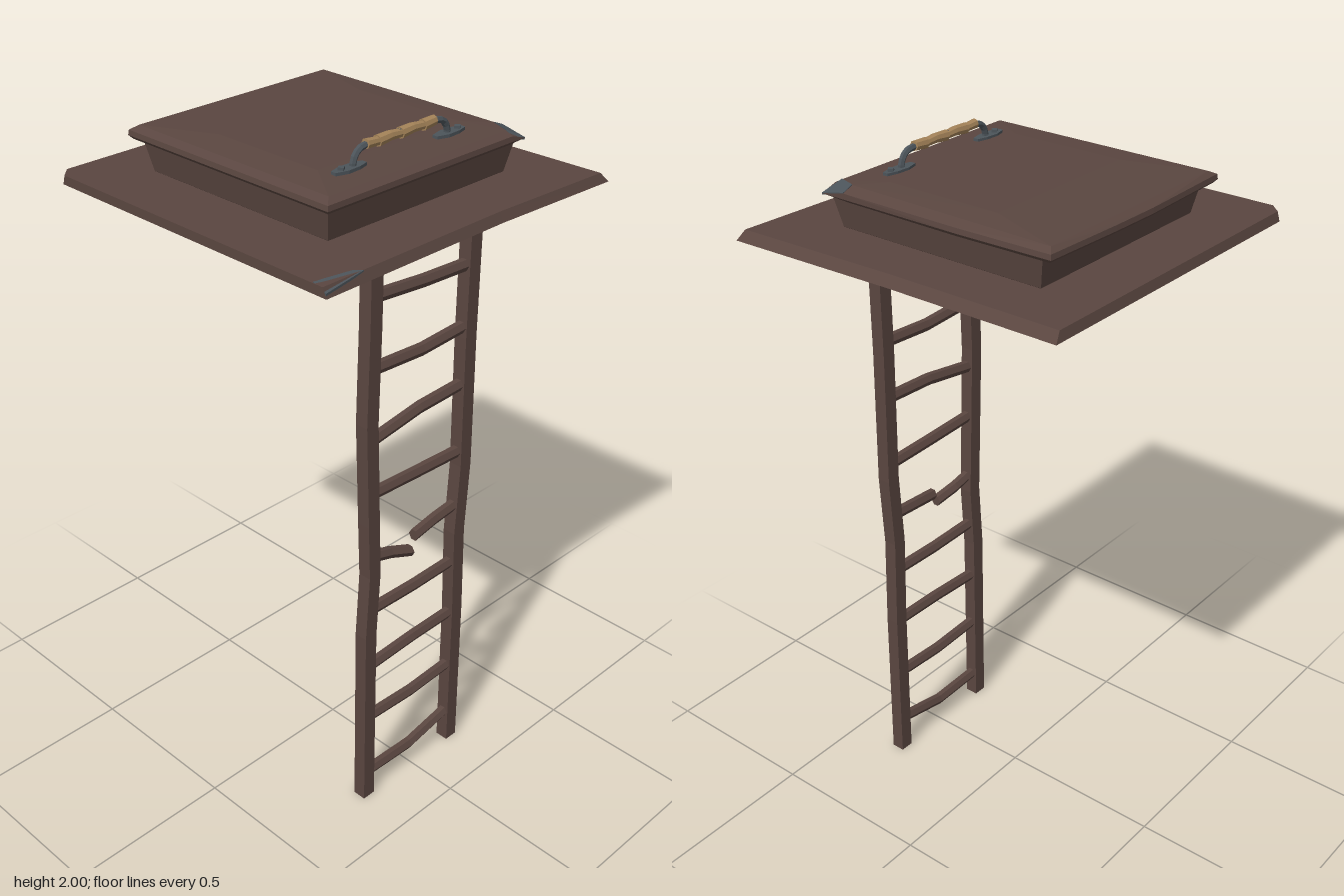
import * as THREE from 'three';
import { ConvexGeometry } from 'three/addons/geometries/ConvexGeometry.js';

const V = (x, y, z) => new THREE.Vector3(x, y, z);

export function createModel() {
  const mat = (name, color) => {
    const m = new THREE.MeshStandardMaterial({ color, flatShading: true });
    m.name = name;
    return m;
  };
  const wood = mat('dark wood', 0x5a4640);
  const metal = mat('dull metal', 0x4c545a);
  const cloth = mat('tan cloth', 0xa38258);

  const root = new THREE.Group();
  const add = (name, geo, material, parent = root) => {
    const mesh = new THREE.Mesh(geo, material);
    mesh.name = name;
    parent.add(mesh);
    return mesh;
  };

  // Bar lofted through path points; u and v span a cross-section of [a, b] pairs
  function bar(path, section, u, v) {
    const n = section.length, pos = [], idx = [];
    for (const p of path) for (const [a, b] of section)
      pos.push(...p.clone().addScaledVector(u, a).addScaledVector(v, b).toArray());
    for (let i = 0; i < path.length - 1; i++) for (let j = 0; j < n; j++) {
      const a = i * n + j, b = i * n + (j + 1) % n;
      idx.push(a, b, a + n, b, b + n, a + n);
    }
    const last = (path.length - 1) * n;
    for (let j = 1; j < n - 1; j++) idx.push(0, j + 1, j, last, last + j, last + j + 1);
    const g = new THREE.BufferGeometry();
    g.setAttribute('position', new THREE.Float32BufferAttribute(pos, 3));
    g.setIndex(idx);
    g.computeVertexNormals();
    return g;
  }

  // Square ring from a closed profile of [half width, height]
  function squareRing(profile) {
    const pts = profile.map(([r, y]) => new THREE.Vector2(r * Math.SQRT2, y));
    pts.push(pts[0].clone());
    return new THREE.LatheGeometry(pts, 4, Math.PI / 4).translate(-0.005, 0, -0.01);
  }

  // Thin worn patch lying on a surface
  const chip = (pts) => new ConvexGeometry(
    pts.flatMap(([x, y, z]) => [V(x, y + 0.002, z), V(x, y - 0.004, z)]));

  // Ladder rails, slightly crooked
  const rails = {
    ladderRailRight: [[-0.193, 0], [-0.195, 0.6], [-0.183, 0.8], [-0.19, 0.97], [-0.202, 1.28], [-0.195, 1.55], [-0.193, 1.79]],
    ladderRailLeft: [[0.175, 0], [0.172, 0.5], [0.164, 0.78], [0.177, 1.0], [0.172, 1.4], [0.175, 1.79]],
  };
  const railSection = [[-0.02, -0.021], [-0.02, 0.021], [0.02, 0.021], [0.02, -0.021]].reverse();
  for (const [name, pts] of Object.entries(rails))
    add(name, bar(pts.map(([x, y]) => V(x, y, 0.327)), railSection, V(0, 0, 1), V(1, 0, 0)), wood);

  // Rungs: heights at the right end, the middle and the left end
  const rungSection = [[-0.016, -0.008], [-0.016, 0.008], [0, 0.017], [0.016, 0.008], [0.016, -0.008], [0, -0.017]].reverse();
  const rung = (name, pts) => add(name, bar(pts, rungSection, V(0, 1, 0), V(0, 0, 1)), wood);
  [
    [0.08, 0.074, 0.108], [0.291, 0.282, 0.291], [0.477, 0.486, 0.488], [0.675, 0.67, 0.673],
    [1.058, 1.05, 1.044], [1.222, 1.25, 1.257], [1.432, 1.422, 1.432], [1.633, 1.617, 1.609],
  ].forEach(([a, b, c], i) =>
    rung('rung' + (i + 1), [V(-0.19, a, 0.327), V(-0.005, b, 0.327), V(0.17, c, 0.327)]));
  rung('brokenRungRight', [V(-0.185, 0.856, 0.327), V(-0.11, 0.836, 0.33), V(-0.04, 0.815, 0.343)]);
  rung('brokenRungLeft', [V(-0.02, 0.852, 0.336), V(0.07, 0.862, 0.33), V(0.168, 0.87, 0.327)]);

  // Floor plate with square hole, uneven outline and worn upper edges
  const outline = [[-0.508, 0.49], [0.1, 0.487], [0.505, 0.503], [0.49, 0], [0.49, -0.508], [-0.475, -0.508], [-0.507, -0.475]];
  const shape = new THREE.Shape(outline.map(([x, z]) => new THREE.Vector2(x, -z)));
  shape.holes.push(new THREE.Path([[-0.3, -0.285], [-0.3, 0.305], [0.29, 0.305], [0.29, -0.285]]
    .map(([x, y]) => new THREE.Vector2(x, y))));
  const plate = new THREE.ExtrudeGeometry(shape, { depth: 0.026, bevelEnabled: false });
  plate.rotateX(-Math.PI / 2).translate(0, 1.788, 0);
  const pp = plate.attributes.position;
  for (let i = 0; i < pp.count; i++) {
    if (pp.getY(i) < 1.8) continue;
    if (pp.getX(i) > 0.4) pp.setX(i, pp.getX(i) - 0.022);
    if (pp.getZ(i) > 0.4) pp.setZ(i, pp.getZ(i) - 0.012);
    if (pp.getZ(i) < -0.4) pp.setZ(i, pp.getZ(i) + 0.008);
  }
  plate.computeVertexNormals();
  add('floorPlate', plate, wood);
  add('floorPlateWear', chip([[-0.506, 1.814, 0.446], [-0.475, 1.815, 0.452], [-0.4, 1.815, 0.466],
    [-0.38, 1.812, 0.479], [-0.508, 1.8, 0.489]]), metal);

  // Hatch frame passing through the plate, with a lower flange
  add('hatchFrame', squareRing([[0.295, 1.742], [0.295, 1.79], [0.318, 1.815], [0.336, 1.905], [0.29, 1.905], [0.285, 1.742]]), wood);
  add('lowerFlange', squareRing([[0.35, 1.735], [0.364, 1.748], [0.29, 1.748], [0.28, 1.735]]), wood);

  // Hatch lid: slightly domed slab with one broken corner
  const rim = [[-0.36, -0.381], [-0.05, -0.392], [0.1, -0.39], [0.346, -0.381], [0.353, -0.1], [0.348, 0.265],
    [0.3, 0.345], [-0.36, 0.345]];
  const worn = [[0.347, 1.905, 0.344], [0.348, 1.921, 0.268], [0.315, 1.934, 0.268], [0.296, 1.932, 0.322], [0.298, 1.917, 0.343]];
  const lidPts = [
    ...rim.map(([x, z]) => V(x * 0.975, 1.897, z * 0.975)),
    ...rim.map(([x, z]) => V(x, 1.907, z)),
    ...rim.map(([x, z]) => V(x * 0.995, 1.921, z * 0.995)),
    ...[[-0.335, 0.322], [-0.335, -0.365], [0.325, -0.365]].map(([x, z]) => V(x, 1.932, z)),
    ...[[-0.25, 0.2], [0.25, 0.2], [-0.25, -0.15], [0.25, -0.15]].map(([x, z]) => V(x, 1.939, z)),
    ...worn.map((p) => V(...p)),
  ];
  add('hatchLid', new ConvexGeometry(lidPts), wood);
  add('hatchLidWear', chip(worn), metal);

  // Handle: bent rod, cloth wrapping and two pointed mounts
  function handle(name) {
    const g = new THREE.Group();
    g.name = name;
    const curve = new THREE.CatmullRomCurve3([V(-0.168, 0, 0), V(-0.166, 0.022, 0), V(-0.148, 0.044, 0),
      V(-0.1, 0.05, 0), V(0.1, 0.05, 0), V(0.148, 0.044, 0), V(0.166, 0.022, 0), V(0.168, 0, 0)]);
    add('handleRod', new THREE.TubeGeometry(curve, 28, 0.009, 6), metal, g);
    for (let i = 0; i < 6; i++) {
      const r = 0.0135 + 0.002 * (i % 2);
      const wrap = add('handleWrap', new THREE.CylinderGeometry(r, r - 0.002, 0.043, 8), cloth, g);
      wrap.position.set(-0.104 + i * 0.04, 0.05, 0);
      wrap.rotation.z = Math.PI / 2 + (i % 2 ? 0.07 : -0.07);
    }
    for (const s of [-1, 1]) {
      const tab = new THREE.Shape([[-0.055, -0.008], [-0.02, -0.018], [0.02, -0.016], [0.05, -0.008],
        [0.05, 0.008], [0.02, 0.016], [-0.02, 0.018], [-0.055, 0.008]].map(([x, y]) => new THREE.Vector2(x, y)));
      const mount = add('handleMount', new THREE.ExtrudeGeometry(tab, { depth: 0.009, bevelEnabled: false })
        .rotateX(-Math.PI / 2), metal, g);
      mount.position.x = s * 0.178;
      const bolt = add('handleBolt', new THREE.BoxGeometry(0.015, 0.01, 0.015), metal, g);
      bolt.position.set(s * 0.207, 0.011, 0);
      bolt.rotation.y = 0.6;
    }
    root.add(g);
    return g;
  }
  handle('upperHandle').position.set(-0.01, 1.935, 0.245);
  const under = handle('lowerHandle');
  under.position.set(0.04, 1.9, 0.12);
  under.rotation.x = Math.PI;

  return root;
}
